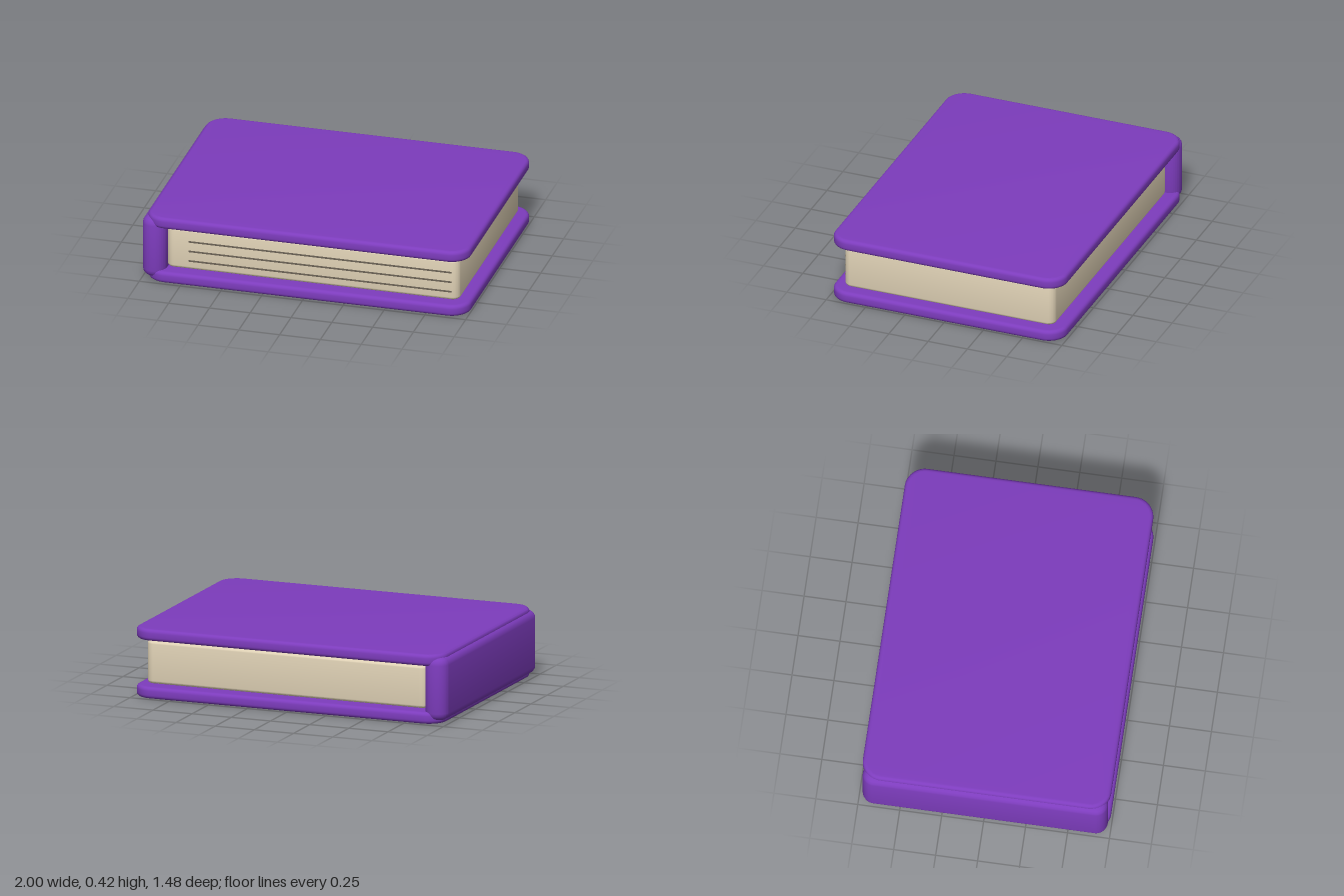
import * as THREE from 'three';
import { toCreasedNormals } from 'three/addons/utils/BufferGeometryUtils.js';

// Upright slab with rounded plan corners and softened top and bottom edges
function slab(x0, x1, y0, y1, halfZ, radius, bevel) {
  const a = x0 + bevel, b = x1 - bevel, h = halfZ - bevel, r = radius - bevel;
  const s = new THREE.Shape();
  s.moveTo(a + r, -h);
  s.lineTo(b - r, -h);
  s.absarc(b - r, -h + r, r, -Math.PI / 2, 0);
  s.lineTo(b, h - r);
  s.absarc(b - r, h - r, r, 0, Math.PI / 2);
  s.lineTo(a + r, h);
  s.absarc(a + r, h - r, r, Math.PI / 2, Math.PI);
  s.lineTo(a, -h + r);
  s.absarc(a + r, -h + r, r, Math.PI, Math.PI * 1.5);
  const g = new THREE.ExtrudeGeometry(s, {
    depth: y1 - y0 - 2 * bevel, curveSegments: 8,
    bevelEnabled: true, bevelSize: bevel, bevelThickness: bevel, bevelSegments: 4,
  });
  g.rotateX(-Math.PI / 2);
  g.translate(0, y0 + bevel, 0);
  return toCreasedNormals(g, 0.7);
}

export function createModel() {
  const group = new THREE.Group();
  const material = (name, color) => {
    const m = new THREE.MeshStandardMaterial({ color });
    m.name = name;
    return m;
  };
  const purple = material('purple cover', 0x7d3cbd);
  const cream = material('cream paper', 0xe0d2b6);
  const brown = material('page line', 0x6b6255);
  const add = (name, geometry, mat) => {
    const mesh = new THREE.Mesh(geometry, mat);
    mesh.name = name;
    group.add(mesh);
    return mesh;
  };

  // Two covers and the spine joining them
  add('bottomCover', slab(-0.975, 1, 0, 0.07, 0.74, 0.12, 0.022), purple);
  add('topCover', slab(-0.975, 1, 0.35, 0.42, 0.74, 0.12, 0.022), purple);
  add('spine', slab(-1, -0.855, 0.02, 0.4, 0.73, 0.07, 0.045), purple);

  // Page block
  add('pages', slab(-0.86, 0.935, 0.077, 0.335, 0.67, 0.05, 0.018), cream);

  // Thin page lines along the front edge
  for (const y of [0.133, 0.195, 0.257]) {
    add('pageLine', new THREE.BoxGeometry(1.61, 0.009, 0.009), brown).position.set(0.085, y, 0.67);
  }
  return group;
}
